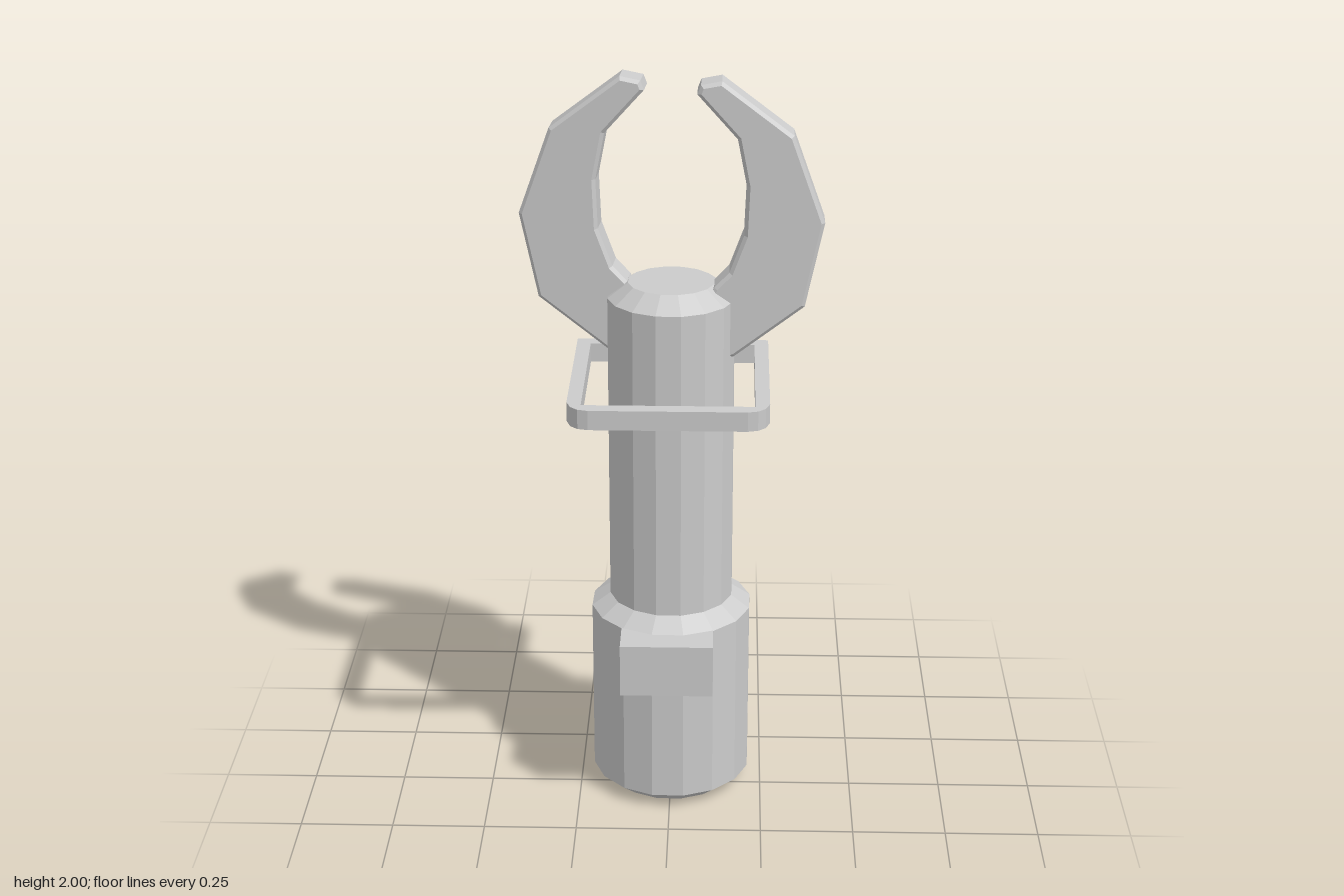
import * as THREE from 'three';

const material = new THREE.MeshStandardMaterial({ color: 0xcccccc, flatShading: true });
const AXIS_Z = -0.072; // the shaft sits slightly behind the centre

function addMesh(parent, name, geometry) {
  const mesh = new THREE.Mesh(geometry, material);
  mesh.name = name;
  parent.add(mesh);
  return mesh;
}

const toPoints = (list) => list.map(([x, y]) => new THREE.Vector2(x, y));

// Sixteen-sided turned part from a radius/height profile
function turned(profile) {
  return new THREE.LatheGeometry(toPoints(profile), 16, THREE.MathUtils.degToRad(10));
}

// Half of the open claw, mirrored by side
const clawProfile = [
  [0.1, 1.25], [0.165, 1.272], [0.345, 1.41], [0.392, 1.635], [0.31, 1.862], [0.128, 2],
  [0.075, 1.99], [0.066, 1.966], [0.168, 1.852], [0.192, 1.73], [0.187, 1.6],
  [0.15, 1.5], [0.112, 1.46], [0.09, 1.42],
];

function clawGeometry(side) {
  const shape = new THREE.Shape(toPoints(clawProfile.map(([x, y]) => [x * side, y])));
  const bevel = 0.009, thickness = 0.085;
  const geometry = new THREE.ExtrudeGeometry(shape, {
    depth: thickness - 2 * bevel, bevelThickness: bevel, bevelSize: bevel,
    bevelOffset: -bevel, bevelSegments: 1,
  });
  return geometry.translate(0, 0, bevel - thickness / 2);
}

export function createModel() {
  const model = new THREE.Group();
  model.name = 'clawHandle';

  // Thick grip with chamfered ends
  addMesh(model, 'grip', turned([
    [0, 0], [0.168, 0], [0.218, 0.04], [0.218, 0.535], [0.168, 0.57], [0, 0.57],
  ])).position.z = AXIS_Z;

  // Narrow shaft with a chamfered top
  addMesh(model, 'shaft', turned([
    [0, 0.56], [0.168, 0.56], [0.168, 1.42], [0.114, 1.46], [0, 1.46],
  ])).position.z = AXIS_Z;

  // Button block on the front of the grip
  addMesh(model, 'button', new THREE.BoxGeometry(0.246, 0.146, 0.16))
    .position.set(-0.006, 0.463, 0.13);

  // Square guard frame, cut round at its two front corners
  const frame = new THREE.Shape(toPoints([
    [-0.256, 0.225], [-0.256, -0.23], [-0.245, -0.262], [-0.226, -0.28], [-0.2, -0.287],
    [0.2, -0.287], [0.226, -0.28], [0.245, -0.262], [0.256, -0.23], [0.256, 0.225],
  ]));
  frame.holes.push(new THREE.Path(toPoints([
    [-0.219, 0.189], [0.219, 0.189], [0.219, -0.249], [-0.219, -0.249],
  ])));
  const guard = addMesh(model, 'guardFrame',
    new THREE.ExtrudeGeometry(frame, { depth: 0.052, bevelEnabled: false }));
  guard.rotation.x = -Math.PI / 2;
  guard.position.y = 1.188;

  // Claw jaws, the right one turned slightly backward
  addMesh(model, 'leftJaw', clawGeometry(1)).position.z = -0.055;
  const rightJaw = addMesh(model, 'rightJaw', clawGeometry(-1));
  rightJaw.position.z = -0.09;
  rightJaw.rotation.y = -0.083;

  return model;
}
